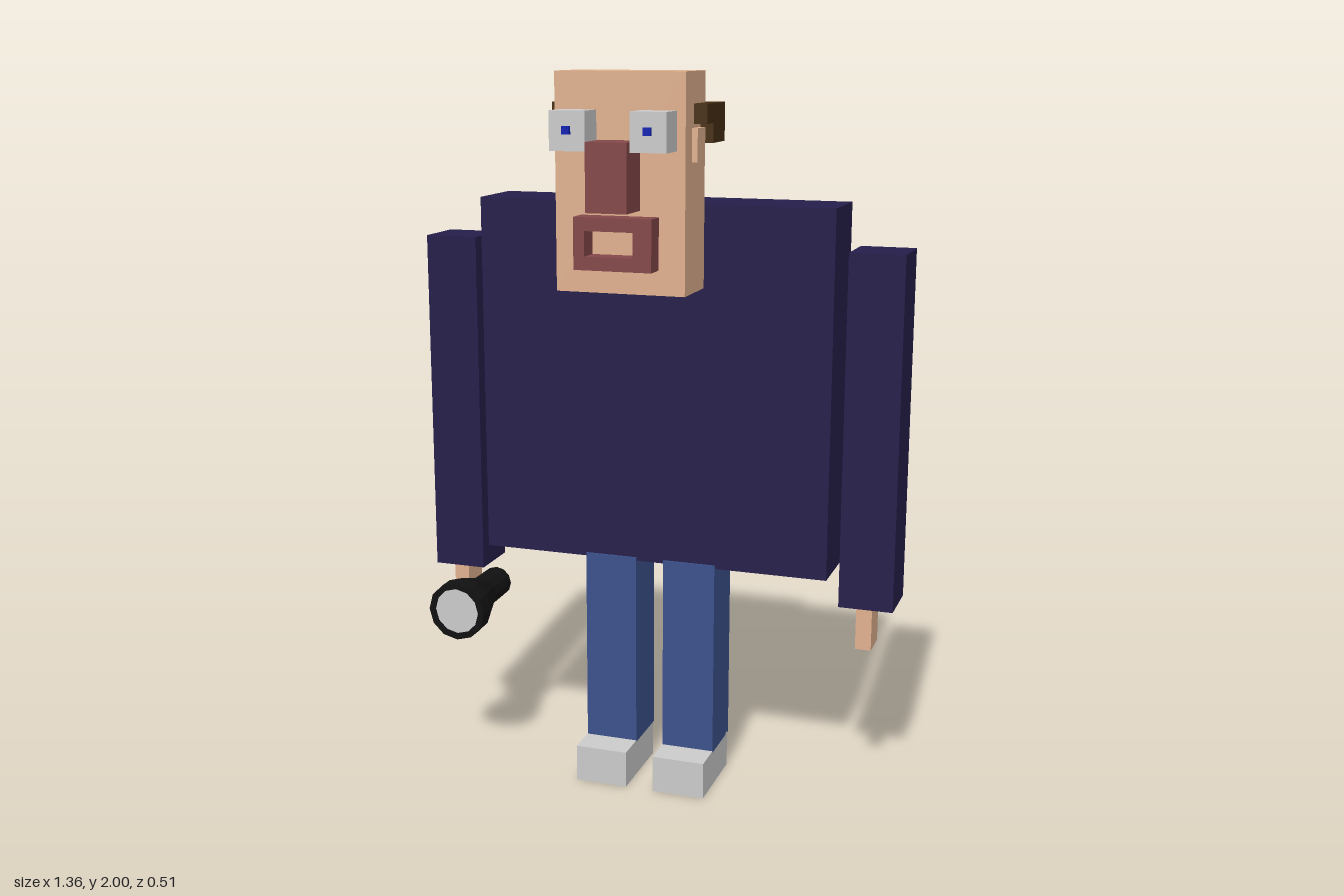
import * as THREE from 'three';

const mat = (color) => new THREE.MeshStandardMaterial({ color, flatShading: true });

export function createModel() {
  const model = new THREE.Group();
  const skin = mat(0xe1b18f), navy = mat(0x251e4a), brown = mat(0x462e12), red = mat(0x844848);
  const denim = mat(0x3c528c), grey = mat(0xcccccc), black = mat(0x111111), blue = mat(0x0a1fb0);

  const add = (name, geometry, material, parent = model) => {
    const mesh = new THREE.Mesh(geometry, material);
    mesh.name = name;
    parent.add(mesh);
    return mesh;
  };
  // Box given by its extents on each axis
  const box = (name, material, [x0, x1], [y0, y1], [z0, z1], parent) => {
    const mesh = add(name, new THREE.BoxGeometry(x1 - x0, y1 - y0, z1 - z0), material, parent);
    mesh.position.set((x0 + x1) / 2, (y0 + y1) / 2, (z0 + z1) / 2);
    return mesh;
  };
  const rect = (Type, x0, x1, y0, y1) => new Type([[x0, y0], [x1, y0], [x1, y1], [x0, y1]]
    .map(([x, y]) => new THREE.Vector2(x, y)));

  // Body
  box('torso', navy, [-0.5, 0.5], [0.65, 1.655], [-0.255, -0.06]);
  for (const [side, s] of [['left', 1], ['right', -1]]) {
    const arm = s * 0.605;
    box(side + 'Arm', navy, [arm - 0.075, arm + 0.075], [0.57, 1.54], [-0.24, -0.085]);
    const hand = s > 0 ? 0.597 : -0.612;
    box(side + 'Hand', skin, [hand - 0.022, hand + 0.022], [0.445, 0.58], [-0.2, -0.11]);
    const leg = -0.005 + s * 0.115;
    box(side + 'Leg', denim, [leg - 0.075, leg + 0.075], [0.1, 0.66], [-0.215, -0.055]);
    box(side + 'Shoe', grey, [leg - 0.075, leg + 0.075], [0, 0.105], [-0.205, 0.035]);
  }

  // Head and face, centred slightly off the body axis
  const head = new THREE.Group();
  head.name = 'head';
  head.position.x = -0.015;
  model.add(head);
  box('skull', skin, [-0.175, 0.175], [1.44, 2], [-0.012, 0.153], head);
  box('nose', red, [-0.055, 0.055], [1.655, 1.83], [0.153, 0.255], head);
  for (const [side, s] of [['left', 1], ['right', -1]]) {
    const eye = -0.003 + s * 0.107;
    box(side + 'Eye', grey, [eye - 0.048, eye + 0.048], [1.805, 1.905], [0.153, 0.236], head);
    box(side + 'Pupil', blue, [eye - 0.01, eye + 0.01], [1.847, 1.867], [0.23, 0.247], head);
    const ear = s * 0.18;
    box(side + 'Ear', skin, [ear - 0.01, ear + 0.01], [1.775, 1.86], [0.035, 0.1], head);

    // Hair beside the skull, notched above the ear
    const lock = new THREE.Shape([[-0.085, 1.87], [-0.03, 1.87], [-0.03, 1.82],
      [0.073, 1.82], [0.073, 1.92], [-0.085, 1.92]].map(([z, y]) => new THREE.Vector2(z, y)));
    const hair = add(side + 'Hair',
      new THREE.ExtrudeGeometry(lock, { depth: 0.035, bevelEnabled: false }), brown, head);
    hair.rotation.y = Math.PI / 2;
    hair.position.x = s > 0 ? 0.175 : -0.21;
  }
  box('backHair', brown, [-0.175, 0.175], [1.82, 1.92], [-0.073, -0.012], head);

  // Open mouth frame
  const lips = rect(THREE.Shape, -0.105, 0.105, 1.505, 1.64);
  lips.holes.push(rect(THREE.Path, -0.075, 0.055, 1.54, 1.605));
  add('mouth', new THREE.ExtrudeGeometry(lips, { depth: 0.06, bevelEnabled: false }), red, head)
    .position.z = 0.152;

  // Flashlight: lathed body pointing forward, with a lens set in the rim
  const flashlight = new THREE.Group();
  flashlight.name = 'flashlight';
  flashlight.position.set(-0.54, 0.49, 0);
  flashlight.rotation.x = Math.PI / 2;
  model.add(flashlight);
  const profile = [[0, -0.2], [0.045, -0.2], [0.047, -0.085], [0.085, 0.035], [0.085, 0.085],
    [0.067, 0.085], [0.067, 0.078]].map(([r, y]) => new THREE.Vector2(r, y));
  add('flashlightBody', new THREE.LatheGeometry(profile, 12), black, flashlight);
  const lens = add('flashlightLens', new THREE.CircleGeometry(0.067, 12), grey, flashlight);
  lens.rotation.x = -Math.PI / 2;
  lens.position.y = 0.08;

  return model;
}
